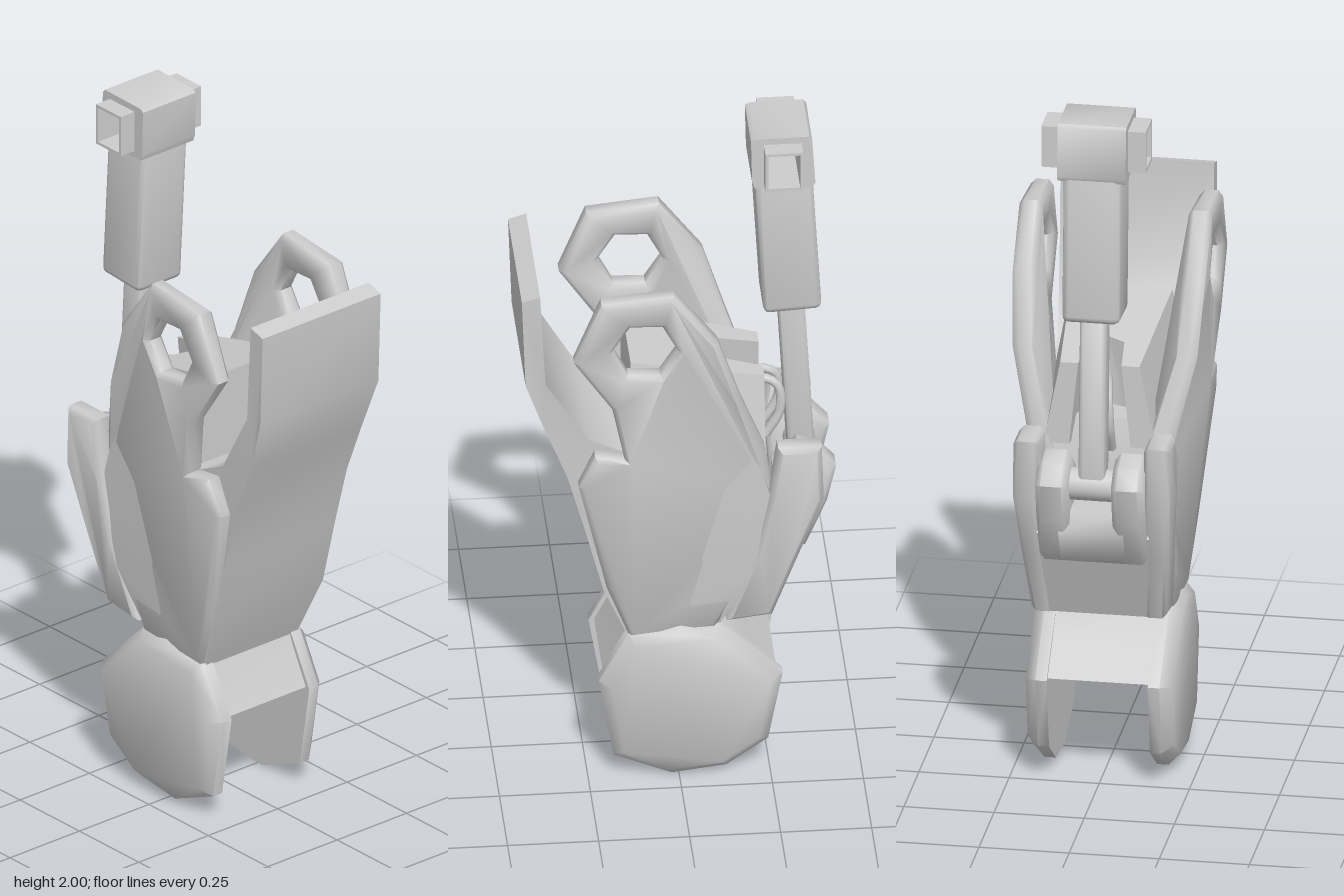
import * as THREE from 'three';
import { toCreasedNormals } from 'three/addons/utils/BufferGeometryUtils.js';
import { RoundedBoxGeometry } from 'three/addons/geometries/RoundedBoxGeometry.js';

const grey = new THREE.MeshStandardMaterial({ color: 0xcccccc });
grey.name = 'light grey metal';

// Extrudes a side profile of [z, y] points from x0 to x1
function sideExtrude(points, x0, x1, { hole, bevel = 0, steps = 1 } = {}) {
  const toV = ([z, y]) => new THREE.Vector2(-z, y);
  const shape = new THREE.Shape(points.map(toV));
  if (hole) shape.holes.push(new THREE.Path(hole.map(toV)));
  const geo = new THREE.ExtrudeGeometry(shape, {
    depth: x1 - x0 - 2 * bevel, steps, bevelEnabled: bevel > 0, bevelSegments: 1,
    bevelSize: bevel, bevelThickness: bevel, bevelOffset: -bevel,
  });
  return geo.rotateY(Math.PI / 2).translate(x0 + bevel, 0, 0);
}

// Moves every vertex by a rule
function reshape(geo, rule) {
  const p = geo.attributes.position, v = new THREE.Vector3();
  for (let i = 0; i < p.count; i++) {
    rule(v.fromBufferAttribute(p, i));
    p.setXYZ(i, v.x, v.y, v.z);
  }
  return geo;
}

// Mirrors an unindexed geometry across x, keeping faces outward
function mirrored(geo) {
  const g = geo.clone().scale(-1, 1, 1), a = g.attributes.position.array;
  for (let i = 0; i < a.length; i += 9)
    for (let k = 0; k < 3; k++) [a[i + k], a[i + 6 + k]] = [a[i + 6 + k], a[i + k]];
  return g;
}

// Rectangle in [z, y], wound as a hole
function rect(z0, z1, y0, y1) {
  return [[z1, y0], [z0, y0], [z0, y1], [z1, y1]];
}

export function createModel() {
  const model = new THREE.Group();
  const add = (name, geo) => {
    const g = geo.index ? geo.toNonIndexed() : geo;
    g.deleteAttribute('normal');
    g.computeVertexNormals();
    const mesh = new THREE.Mesh(toCreasedNormals(g, 0.9), grey);
    mesh.name = name;
    model.add(mesh);
  };
  const addPair = (name, geo) => {
    const other = mirrored(geo);
    add(name + 'Left', geo);
    add(name + 'Right', other);
  };
  // Rounded square bar between two points
  const bar = (name, a, b, width, radius) => {
    const from = new THREE.Vector3(...a), dir = new THREE.Vector3(...b).sub(from);
    const geo = new RoundedBoxGeometry(width, dir.length(), width, 2, radius);
    geo.applyQuaternion(new THREE.Quaternion().setFromUnitVectors(
      new THREE.Vector3(0, 1, 0), dir.clone().normalize()));
    add(name, geo.translate(...from.addScaledVector(dir, 0.5).toArray()));
  };

  // Shin body with the tall front guard
  add('shinBody', reshape(sideExtrude([
    [0.435, 1.58], [0.425, 1.31], [0.37, 1.15], [0.31, 1.0], [0.26, 0.82], [0.21, 0.625],
    [0.14, 0.45], [-0.11, 0.47], [-0.2, 0.64], [-0.235, 0.78], [-0.25, 0.9], [-0.2, 1.07],
    [0.155, 1.07], [0.25, 1.115], [0.37, 1.31], [0.385, 1.595],
  ], -1, 1), (v) => {
    v.x *= v.y > 1.3 ? 0.213 : v.y > 0.6 ? 0.198 : 0.165;
  }));

  // Side plates with hexagonal eyes
  const eye = Array.from({ length: 6 }, (_, i) => {
    const t = i * Math.PI / 3 + 0.04;
    return [0.1 + 0.09 * Math.cos(t), 1.43 + 0.09 * Math.sin(t)];
  });
  addPair('sidePlate', reshape(sideExtrude([
    [0.02, 1.605], [0.22, 1.585], [0.295, 1.4], [0.19, 1.245], [0.155, 1.07], [0.235, 1.08],
    [0.28, 0.98], [0.2, 0.625], [0.135, 0.45], [-0.1, 0.47], [-0.2, 0.64], [-0.24, 0.78],
    [-0.258, 0.92], [-0.235, 1.05], [-0.165, 1.245], [-0.1, 1.445],
  ], 0.203, 0.267, { hole: eye, bevel: 0.014 }), (v) => {
    v.x -= Math.max(0, 1.25 - v.y) * 0.105 + Math.max(0, -0.13 - v.z) * 0.45;
  }));

  // Inner saddle block, notched at the back
  const saddle = new THREE.Shape([
    [-0.14, 0.13], [0.14, 0.13], [0.11, -0.24], [0.06, -0.24], [0.05, -0.13], [0, -0.105],
    [-0.05, -0.13], [-0.06, -0.24], [-0.11, -0.24],
  ].map(([x, z]) => new THREE.Vector2(x, -z)).reverse());
  add('innerSaddle', reshape(
    new THREE.ExtrudeGeometry(saddle, { depth: 1, bevelEnabled: false }).rotateX(-Math.PI / 2),
    (v) => {
      if (v.y > 0.5) v.y = 1.24 + 0.22 * (v.z + 0.24);
      else { v.y = 1.0; v.x *= 1.42; }
    }));

  // Ankle discs, chamfered on the outer rim
  addPair('ankleDisc', reshape(sideExtrude([
    [0.14, 0.46], [0.22, 0.31], [0.18, 0.07], [0.02, 0.002], [-0.13, 0.02], [-0.245, 0.1],
    [-0.285, 0.31], [-0.11, 0.48], [0, 0.5],
  ], 0.14, 0.204, { steps: 2 }), (v) => {
    if (v.x > 0.2) {
      v.z = -0.03 + (v.z + 0.03) * 0.87;
      v.y = 0.25 + (v.y - 0.25) * 0.87;
    }
  }));
  // Web joining the discs
  add('ankleBridge', sideExtrude([
    [0.13, 0.47], [0.15, 0.42], [0.205, 0.312], [0.1, 0.35], [-0.03, 0.37], [-0.16, 0.35],
    [-0.27, 0.312], [-0.19, 0.39], [-0.11, 0.48],
  ], -0.15, 0.15));

  // Calf cover: centre shell, two arms, two pivot ears and the cradle between them
  const narrow = (v) => { v.x *= 1 - Math.max(0, 0.85 - v.y) * 0.4; };
  add('calfShell', reshape(sideExtrude([
    [-0.13, 0.49], [-0.25, 0.505], [-0.36, 0.78], [-0.31, 0.86], [-0.22, 0.72],
  ], -0.16, 0.16), narrow));
  addPair('calfArm', reshape(sideExtrude([
    [-0.13, 0.49], [-0.255, 0.505], [-0.325, 0.7], [-0.395, 0.89], [-0.39, 1.06],
    [-0.27, 1.06], [-0.245, 0.89], [-0.21, 0.72],
  ], 0.145, 0.217, { bevel: 0.014 }), narrow));
  addPair('pivotEar', sideExtrude([
    [-0.26, 0.96], [-0.33, 1.02], [-0.39, 1.0], [-0.435, 0.95], [-0.41, 0.84], [-0.35, 0.7],
    [-0.28, 0.68],
  ], 0.06, 0.15, { bevel: 0.016 }));
  add('pivotCradle', sideExtrude([
    [-0.28, 0.68], [-0.35, 0.7], [-0.395, 0.8], [-0.37, 0.86], [-0.28, 0.86],
  ], -0.09, 0.09));

  // Hydraulic piston
  add('pivotPin', new THREE.CylinderGeometry(0.045, 0.045, 0.18, 20)
    .rotateZ(Math.PI / 2).translate(0, 0.93, -0.35));
  bar('pistonRod', [0, 0.92, -0.35], [0, 1.45, -0.32], 0.074, 0.012);
  bar('pistonBarrel', [0, 1.42, -0.322], [0, 1.86, -0.296], 0.16, 0.018);
  const bore = rect(-0.336, -0.248, 1.868, 1.972);
  add('pistonHead', sideExtrude(
    [[-0.375, 1.835], [-0.215, 1.84], [-0.208, 1.86], [-0.205, 1.99], [-0.215, 1.998],
      [-0.365, 2.0], [-0.373, 1.99], [-0.382, 1.85]], -0.095, 0.095, { hole: bore }));
  add('hollowPin', sideExtrude(rect(-0.344, -0.24, 1.86, 1.98), -0.145, 0.145, { hole: bore }));

  // Thin bent feed lines behind the saddle
  for (const s of [-1, 1]) {
    const path = new THREE.CatmullRomCurve3([
      [0, 1.16, -0.12], [s * 0.02, 1.18, -0.22], [s * 0.03, 1.16, -0.28],
      [s * 0.035, 1.08, -0.29], [s * 0.035, 1.0, -0.25],
    ].map((p) => new THREE.Vector3(...p)));
    add('feedLine', new THREE.TubeGeometry(path, 20, 0.013, 8));
  }
  return model;
}
